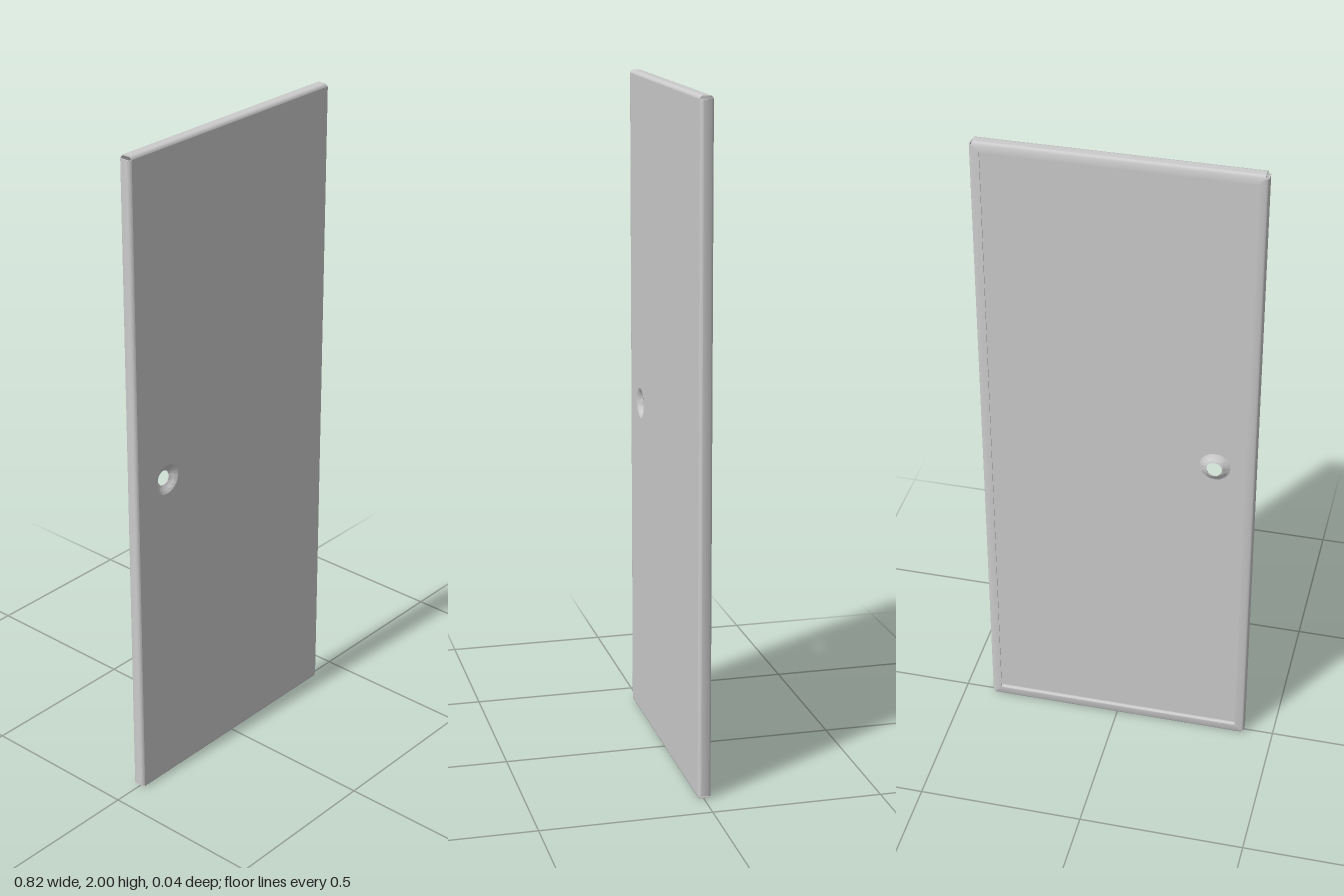
import * as THREE from 'three';
import { toCreasedNormals } from 'three/addons/utils/BufferGeometryUtils.js';

const HALF_W = 0.41, HALF_H = 1, FRONT = 0.018, BACK = -0.02;
const SHEET = 0.003, BEND = 0.009, LIP = 0.029;
const HOLE = { x: -0.285, y: 0.005, outer: 0.046, inner: 0.023 };

const material = new THREE.MeshStandardMaterial({ color: 0xcccccc, side: THREE.DoubleSide });

function addMesh(parent, name, geometry) {
  const mesh = new THREE.Mesh(toCreasedNormals(geometry, 0.6), material);
  mesh.name = name;
  parent.add(mesh);
  return mesh;
}

// Flat front sheet with a round opening for the dimple
function panelGeometry() {
  const w = HALF_W - BEND, h = HALF_H - BEND;
  const shape = new THREE.Shape();
  shape.moveTo(-w, -h).lineTo(w, -h).lineTo(w, h).lineTo(-w, h).closePath();
  const hole = new THREE.Path();
  hole.absarc(HOLE.x, HOLE.y, HOLE.outer, 0, Math.PI * 2, true);
  shape.holes.push(hole);
  const geo = new THREE.ExtrudeGeometry(shape, { depth: SHEET, bevelEnabled: false, curveSegments: 20 });
  return geo.translate(0, 0, FRONT - SHEET);
}

// Bent edge: front bend, side wall, back bend and return lip, ends mitred
function edgeGeometry(length, halfSpan) {
  const r = BEND - SHEET, c = -BEND, f = FRONT - BEND, b = BACK + BEND, q = Math.PI / 2;
  const shape = new THREE.Shape();
  shape.moveTo(c, FRONT);
  shape.absarc(c, f, BEND, q, 0, true);
  shape.absarc(c, b, BEND, 0, -q, true);
  shape.lineTo(-LIP, BACK).lineTo(-LIP, BACK + SHEET);
  shape.absarc(c, b, r, -q, 0, false);
  shape.absarc(c, f, r, 0, q, false);
  shape.closePath();
  const geo = new THREE.ExtrudeGeometry(shape, { depth: length, bevelEnabled: false, curveSegments: 6 });
  geo.translate(0, 0, -length / 2);
  const p = geo.attributes.position;
  for (let i = 0; i < p.count; i++) {
    // Open corner notch at the bends, 45 degree cut along the lips
    const trim = Math.max(BEND, -p.getX(i));
    p.setZ(i, Math.sign(p.getZ(i)) * (length / 2 - trim));
  }
  return geo.rotateX(Math.PI / 2).translate(halfSpan, 0, 0);
}

// Pressed recess that funnels back to the through hole
function dimpleGeometry() {
  const { outer, inner } = HOLE;
  const steps = 8, front = [], back = [];
  for (let i = 0; i <= steps; i++) {
    const t = i / steps;
    const radius = outer + (inner - outer) * t;
    const z = FRONT - 0.014 * t * t * (3 - 2 * t);
    front.push(new THREE.Vector2(radius, z));
    back.unshift(new THREE.Vector2(radius, z - SHEET));
  }
  const geo = new THREE.LatheGeometry([...front, ...back], 40);
  return geo.rotateX(Math.PI / 2).translate(HOLE.x, HOLE.y, 0);
}

export function createModel() {
  const door = new THREE.Group();
  door.name = 'doorPanel';
  const body = new THREE.Group();
  body.name = 'sheetMetalBody';
  body.position.y = HALF_H;
  door.add(body);

  addMesh(body, 'frontSheet', panelGeometry());
  addMesh(body, 'holeDimple', dimpleGeometry());

  // Four folded edges, turned around the centre
  ['leftEdge', 'topEdge', 'rightEdge', 'bottomEdge'].forEach((name, i) => {
    const upright = i % 2 === 0;
    const geo = upright ? edgeGeometry(2 * HALF_H, HALF_W) : edgeGeometry(2 * HALF_W, HALF_H);
    addMesh(body, name, geo).rotation.z = i * Math.PI / 2;
  });
  return door;
}
